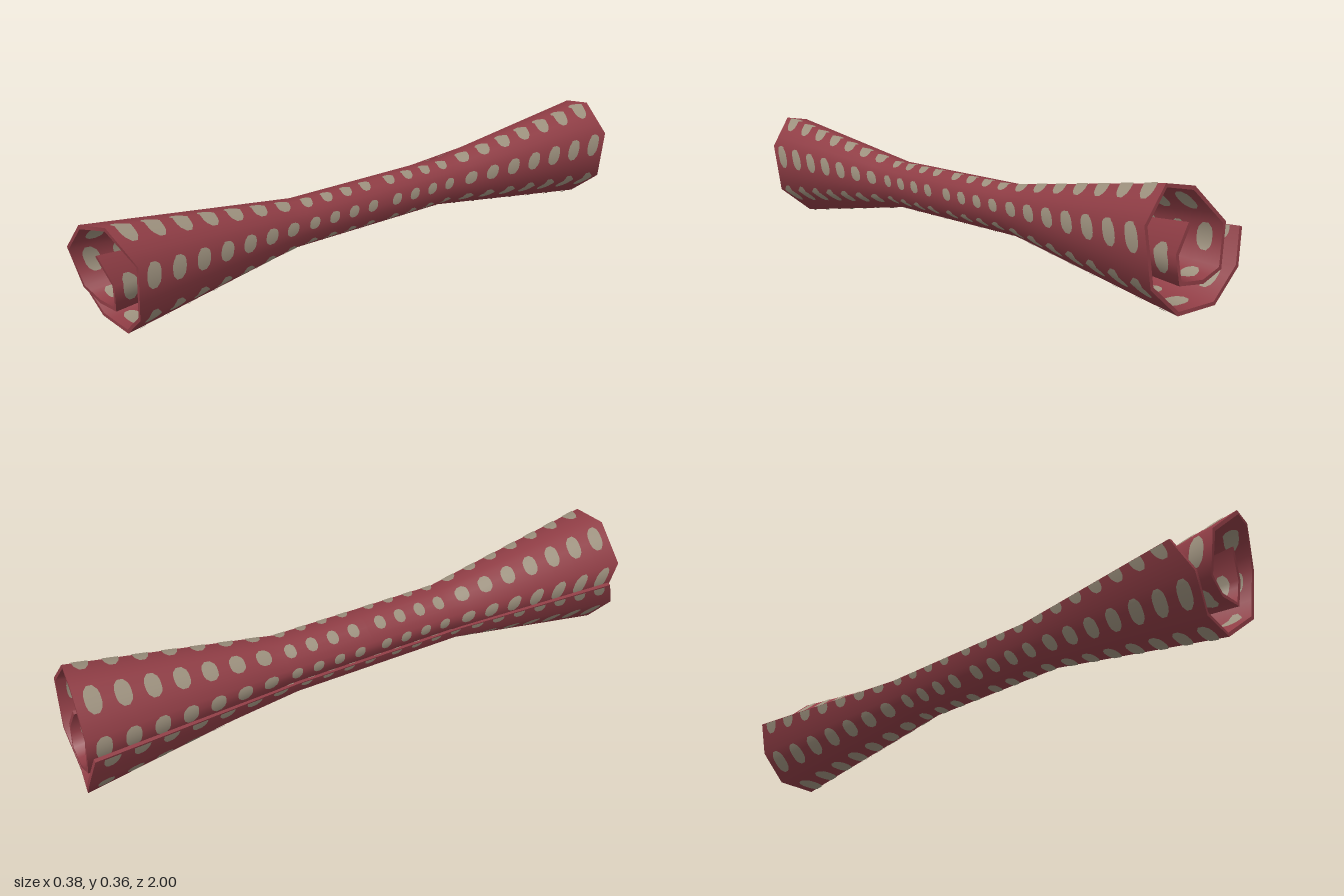
import * as THREE from 'three';
import { mergeGeometries } from 'three/addons/utils/BufferGeometryUtils.js';

// Spiral section at the flared ends, outer tip to inner tip: x, y, front z, back z
const SPIRAL = [
  [-0.19, 0.212, 0.89, 0.98], [-0.155, 0.11, 0.94, 1.0], [-0.075, 0.014, 0.915, 0.99],
  [0.05, 0.001, 0.9, 0.97], [0.165, 0.092, 0.915, 0.975], [0.19, 0.262, 0.92, 0.97],
  [0.102, 0.36, 0.965, 0.96], [0, 0.344, 0.995, 0.97], [-0.12, 0.236, 0.985, 0.98],
  [-0.102, 0.108, 0.955, 0.985], [-0.03, 0.079, 0.94, 0.985], [0.06, 0.086, 0.935, 0.98],
  [0.073, 0.17, 0.94, 0.975], [0.02, 0.25, 0.96, 0.97],
];
const THICK = 0.012, WAIST = 0.3, MID_Y = 0.18;

// Arc length and outward normal at each spiral corner
const arc = [0];
for (let i = 1; i < SPIRAL.length; i++) {
  arc.push(arc[i - 1] + Math.hypot(SPIRAL[i][0] - SPIRAL[i - 1][0], SPIRAL[i][1] - SPIRAL[i - 1][1]));
}
const LENGTH = arc[arc.length - 1];
const edgeNormal = (i) => {
  const j = THREE.MathUtils.clamp(i, 0, SPIRAL.length - 2);
  const [a, b] = [SPIRAL[j], SPIRAL[j + 1]];
  return new THREE.Vector2(b[1] - a[1], a[0] - b[0]).normalize();
};
const outward = SPIRAL.map((_, i) => edgeNormal(i - 1).add(edgeNormal(i)).normalize());

// One corner of the spiral at lengthwise position v (-1..1), raised by h
function corner(i, v, h) {
  const [px, py, front, back] = SPIRAL[i];
  const x = px + outward[i].x * h, y = py + outward[i].y * h;
  const k = Math.max(0, (Math.abs(v) - WAIST) / (1 - WAIST));
  const z = k > 0 ? Math.sign(v) * (WAIST + k * ((v > 0 ? front : back) - WAIST)) : v;
  const sx = THREE.MathUtils.lerp(i < 2 ? 0.68 : 0.57, 1, k);
  const sy = THREE.MathUtils.lerp(0.46, 1, k);
  return new THREE.Vector3(x * sx, MID_Y + (y - MID_Y) * sy, z);
}

function locate(s) {
  let i = 0;
  while (i < arc.length - 2 && s > arc[i + 1]) i++;
  return [i, (s - arc[i]) / (arc[i + 1] - arc[i])];
}

function point(s, v, h) {
  const [i, t] = locate(s);
  return corner(i, v, h).lerp(corner(i + 1, v, h), t);
}

function normal(s, v) {
  const [i, t] = locate(s);
  const n = outward[i].clone().lerp(outward[i + 1], t);
  const slope = THREE.MathUtils.clamp((Math.abs(v) - 0.28) / 0.04, 0, 1) * 0.14;
  return new THREE.Vector3(n.x, n.y, -Math.sign(v) * slope).normalize();
}

// Surface over two lists of parameters
function grid(as, bs, pos, flip, nrm) {
  const p = [], n = [], index = [], w = bs.length;
  as.forEach((a, i) => bs.forEach((b, j) => {
    p.push(...pos(a, b).toArray());
    if (nrm) n.push(...nrm(a, b).multiplyScalar(flip ? -1 : 1).toArray());
    if (i && j) {
      const q = [(i - 1) * w + j - 1, i * w + j - 1, i * w + j, (i - 1) * w + j];
      index.push(...(flip ? [q[0], q[2], q[1], q[0], q[3], q[2]] : [q[0], q[1], q[2], q[0], q[2], q[3]]));
    }
  }));
  const g = new THREE.BufferGeometry();
  g.setAttribute('position', new THREE.Float32BufferAttribute(p, 3));
  g.setIndex(index);
  if (nrm) g.setAttribute('normal', new THREE.Float32BufferAttribute(n, 3));
  else g.computeVertexNormals();
  return g;
}

// Oblong spot that bends with the sheet
function spot(center, v, halfV, inside) {
  const halfS = 0.044, lo = Math.max(0.002, center - halfS), hi = Math.min(LENGTH - 0.002, center + halfS);
  const cols = arc.filter((s) => s > lo + 0.001 && s < hi - 0.001);
  for (let i = 0; i <= 6; i++) cols.push(lo + (hi - lo) * i / 6);
  cols.sort((a, b) => a - b);
  const reach = (s) => halfV * Math.max(0.35, Math.sqrt(Math.max(0, 1 - Math.abs((s - center) / halfS) ** 3)));
  const h = inside ? -THICK - 0.003 : 0.003;
  return grid(cols, [-1, 0, 1], (s, b) => point(s, v + b * reach(s), h), inside,
    (s, b) => normal(s, v + b * reach(s)));
}

export function createModel() {
  const red = new THREE.MeshStandardMaterial({ color: 0x8f3d45 });
  red.name = 'rug red';
  const beige = new THREE.MeshStandardMaterial({ color: 0x9c907d });
  beige.name = 'spot beige';

  const model = new THREE.Group();
  model.name = 'rolledRug';
  const add = (name, geometry, material) => {
    const mesh = new THREE.Mesh(geometry, material);
    mesh.name = name;
    model.add(mesh);
  };

  // Parameter lists that include every corner and the ends of the waist
  const along = [0];
  for (let i = 1; i < arc.length; i++) {
    for (let k = 1; k <= 3; k++) along.push(arc[i - 1] + (arc[i] - arc[i - 1]) * k / 3);
  }
  const lengthwise = [-WAIST, 0, WAIST];
  for (let k = 1; k <= 8; k++) {
    const v = WAIST + (1 - WAIST) * k / 8;
    lengthwise.push(v, -v);
  }
  lengthwise.sort((a, b) => a - b);

  // Both faces of the sheet
  add('outerFace', grid(along, lengthwise, (s, v) => point(s, v, 0), false, normal), red);
  add('innerFace', grid(along, lengthwise, (s, v) => point(s, v, -THICK), true, normal), red);

  // Cut edges of the sheet
  const depth = [-THICK, 0];
  add('frontEdge', grid(along, depth, (s, h) => point(s, 1, h), true), red);
  add('backEdge', grid(along, depth, (s, h) => point(s, -1, h), false), red);
  add('outerTipEdge', grid(depth, lengthwise, (h, v) => point(0, v, h), false), red);
  add('innerTipEdge', grid(depth, lengthwise, (h, v) => point(LENGTH, v, h), true), red);

  // Rows of spots on both faces
  const spots = { outerSpots: [], innerSpots: [] };
  for (let s = 0; s < LENGTH + 0.03; s += 0.16) {
    for (let j = 0; j < 11; j++) {
      const v = j < 4 ? 0.05 + 0.0765 * j : 0.28 + 0.095 * (j - 3);
      const halfV = j < 4 ? 0.019 : 0.026;
      for (const side of [-1, 1]) {
        spots.outerSpots.push(spot(s, v * side, halfV, false));
        spots.innerSpots.push(spot(s, v * side, halfV, true));
      }
    }
  }
  for (const [name, parts] of Object.entries(spots)) add(name, mergeGeometries(parts), beige);
  return model;
}
